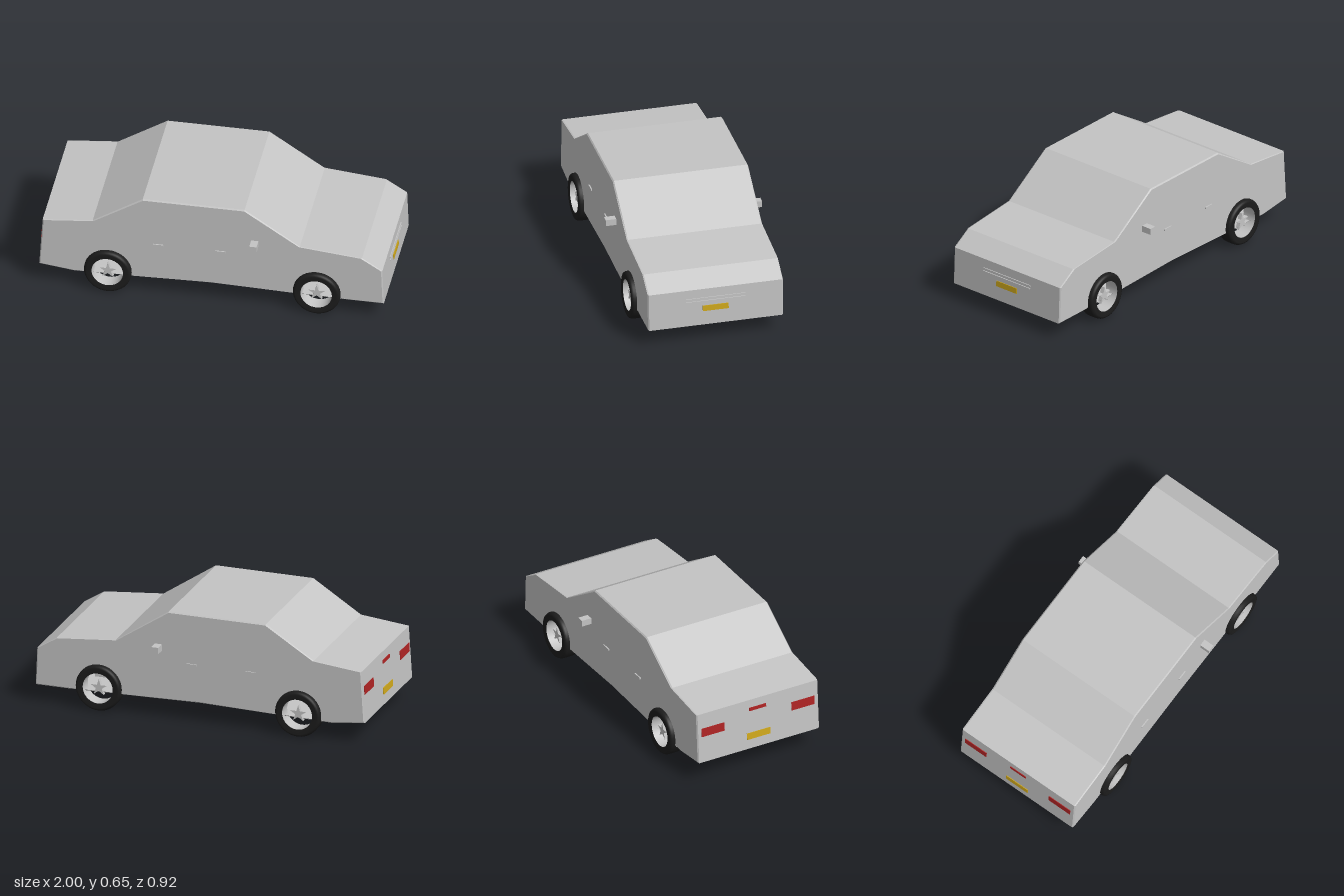
import * as THREE from 'three';

const mat = (name, color, side = THREE.FrontSide) => {
  const m = new THREE.MeshStandardMaterial({ color, side });
  m.name = name;
  return m;
};

export function createModel() {
  const car = new THREE.Group();
  car.name = 'car';
  const silver = mat('silver paint', 0xc4c4c4, THREE.DoubleSide);
  const rubber = mat('tyre black', 0x1c1c1c, THREE.DoubleSide);
  const yellow = mat('plate yellow', 0xcfa81c);
  const red = mat('lamp red', 0xae2424);

  const add = (name, geometry, material, parent = car) => {
    const mesh = new THREE.Mesh(geometry, material);
    mesh.name = name;
    parent.add(mesh);
    return mesh;
  };
  const box = (name, material, size, pos, tilt = 0) => {
    const mesh = add(name, new THREE.BoxGeometry(...size), material);
    mesh.position.set(...pos);
    mesh.rotation.z = tilt;
    return mesh;
  };

  // Side profile, counter-clockwise from the lower rear corner
  const profile = [
    [-1, 0.13], [-0.8, 0.105], [0, 0.122], [0.8, 0.105], [0.997, 0.105],
    [0.988, 0.33], [0.87, 0.405], [0.51, 0.44], [0.19, 0.655],
    [-0.4, 0.655], [-0.69, 0.47], [-0.98, 0.44],
  ];
  const inset = ([x, y]) => [x * 0.993, 0.38 + (y - 0.38) * 0.975];
  const axles = [-0.6, 0.61];
  const axleY = 0.144;

  // Body skin: the profile swept across the width, with chamfered side edges
  const rings = [[-0.398, inset], [-0.391, p => p], [0.391, p => p], [0.398, inset]]
    .map(([z, f]) => profile.map(p => [...f(p), z]));
  const pos = [];
  for (let r = 0; r < rings.length - 1; r++) {
    for (let i = 0; i < profile.length; i++) {
      const j = (i + 1) % profile.length;
      const a = rings[r][i], b = rings[r][j], c = rings[r + 1][j], d = rings[r + 1][i];
      pos.push(...a, ...b, ...c, ...a, ...c, ...d);
    }
  }
  const skin = new THREE.BufferGeometry();
  skin.setAttribute('position', new THREE.Float32BufferAttribute(pos, 3));
  skin.computeVertexNormals();
  add('bodyShell', skin, silver);

  // Side panels with wheel openings
  const side = new THREE.Shape();
  profile.map(inset).forEach(([x, y], i) => {
    if (i === 0) side.moveTo(x, y);
    else {
      if (i === 2) side.absarc(axles[0], axleY, 0.1, Math.PI + 0.3, -0.3, true);
      if (i === 3) side.absarc(axles[1], axleY, 0.1, Math.PI + 0.3, -0.3, true);
      side.lineTo(x, y);
    }
  });
  const panel = new THREE.ShapeGeometry(side, 20);
  add('leftHandPanel', panel, silver).position.z = 0.398;
  const far = add('rightHandPanel', panel, silver);
  far.position.z = -0.398;
  far.scale.z = -1;

  // Mirrors and door handles
  for (const s of [1, -1]) {
    box('wingMirror', silver, [0.042, 0.038, 0.064], [0.25, 0.432, s * 0.428]);
    for (const x of [-0.31, 0.05]) {
      box('doorHandle', silver, [0.06, 0.01, 0.01], [x, 0.35, s * 0.4]);
    }
  }

  // Nose: grille bars and plate
  box('grilleBar', silver, [0.008, 0.009, 0.35], [0.992, 0.272, 0], 0.04);
  box('grilleBar', silver, [0.008, 0.005, 0.35], [0.993, 0.255, 0], 0.04);
  box('frontPlate', yellow, [0.006, 0.034, 0.152], [0.994, 0.208, 0], 0.04);

  // Tail: lamps and plate lie on the slightly sloped rear face
  const tail = (name, material, y, z, h, w) =>
    box(name, material, [0.008, h, w], [-1 + (y - 0.13) * 0.0645, y, z], -0.0645);
  for (const s of [1, -1]) tail('tailLamp', red, 0.32, s * 0.295, 0.052, 0.15);
  tail('brakeLamp', red, 0.38, 0, 0.02, 0.11);
  tail('rearPlate', yellow, 0.21, 0, 0.04, 0.152);

  // Crossmember between the front wheels
  box('frontCrossmember', silver, [0.16, 0.045, 0.5], [0.61, 0.165, 0]);

  // Wheels
  const tyreProfile = [
    [0.091, -0.042], [0.12, -0.047], [0.131, -0.043], [0.137, -0.032],
    [0.138, 0], [0.137, 0.032], [0.131, 0.043], [0.12, 0.047], [0.091, 0.042],
  ].map(p => new THREE.Vector2(...p));
  const tyre = new THREE.LatheGeometry(tyreProfile, 40).rotateX(Math.PI / 2);
  const barrel = new THREE.CylinderGeometry(0.091, 0.091, 0.084, 40, 1, true).rotateX(Math.PI / 2);
  const star = new THREE.Shape();
  for (let i = 0; i < 10; i++) {
    const a = Math.PI / 2 + i * Math.PI / 5, r = i % 2 ? 0.019 : 0.052;
    star[i ? 'lineTo' : 'moveTo'](r * Math.cos(a), r * Math.sin(a));
  }
  const spokes = new THREE.ExtrudeGeometry(star, { depth: 0.025, bevelEnabled: false });
  for (const x of axles) {
    for (const s of [1, -1]) {
      const wheel = new THREE.Group();
      wheel.name = 'wheel';
      add('tyre', tyre, rubber, wheel);
      add('rim', barrel, silver, wheel);
      add('spokes', spokes, silver, wheel);
      wheel.position.set(x, axleY - 0.004, s * 0.381);
      if (s < 0) wheel.rotation.y = Math.PI;
      car.add(wheel);
    }
  }
  return car;
}
